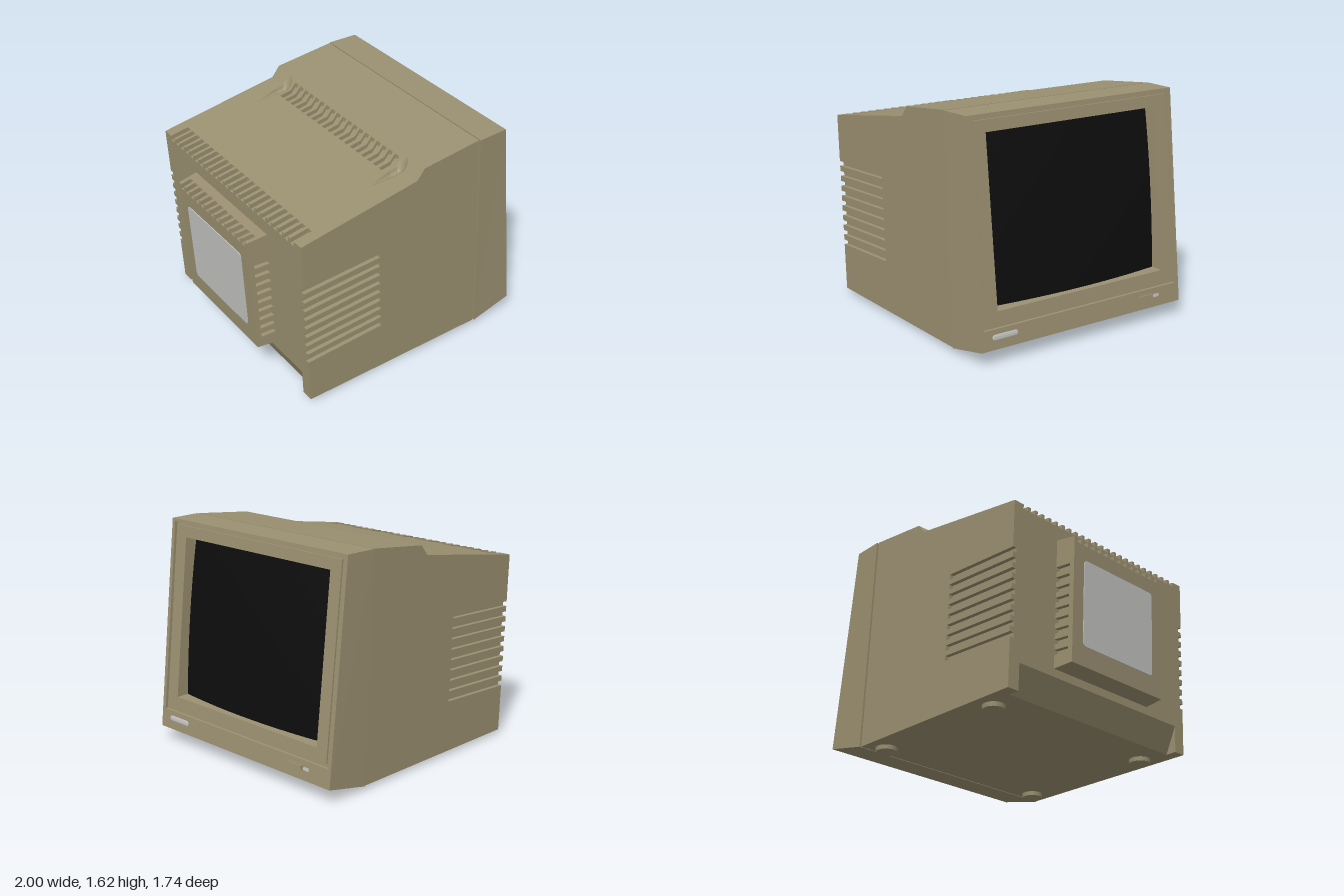
import * as THREE from 'three';
import { mergeGeometries } from 'three/addons/utils/BufferGeometryUtils.js';

const mat = (name, color) => Object.assign(new THREE.MeshStandardMaterial({ color }), { name });
const lerp = THREE.MathUtils.lerp;

// Straight edges of the case, as x for a given height
const frontX = y => 0.82 + 0.17 * (1.615 - y) / 1.515;
const seamX = y => 0.58 + 0.075 * (1.62 - y) / 1.59;
const rearX = y => -0.80 - 0.06 * (y - 0.03) / 1.32;
const boxX = y => -0.955 - 0.05 * (y - 0.285);
const TILT = Math.atan(0.17 / 1.515);

// Height of the stepped roof
const ROOF = [[-0.86, 1.35], [0.06, 1.495], [0.12, 1.57], [0.58, 1.62]];
function roofY(x) {
  const i = x <= 0.06 ? 0 : x <= 0.12 ? 1 : 2;
  const [a, b] = [ROOF[i], ROOF[i + 1]];
  return lerp(a[1], b[1], (x - a[0]) / (b[0] - a[0]));
}

// Side profile extruded across the width
function slab(points, z0, z1) {
  const shape = new THREE.Shape(points.map(p => new THREE.Vector2(...p)));
  return new THREE.ExtrudeGeometry(shape, { depth: z1 - z0, bevelEnabled: false }).translate(0, 0, z0);
}
const bothSides = (points, z0, z1) => [slab(points, z0, z1), slab(points, -z1, -z0)];

// Solid ribs left between a row of slots
function ribs(points, count, limit, pitch = 0.0658, width = 0.042) {
  const out = [];
  for (let i = 0; i <= count; i++) {
    const c = (i - count / 2) * pitch;
    const a = i === 0 ? -limit : c - pitch / 2 + width / 2;
    const b = i === count ? limit : c + pitch / 2 - width / 2;
    out.push(slab(points, a, b));
  }
  return out;
}

// Upward edge with nine slanting slots cut in from openX to closedX
function comb(openX, closedX, slope = 0.048) {
  const pts = [];
  for (let i = 0; i < 9; i++) {
    const mid = 0.37 + i * 0.075;
    for (const [x, y] of [[openX, mid], [closedX, mid], [closedX, mid + 0.036], [openX, mid + 0.036]]) {
      pts.push([x(y), y + slope * (x(y) + 0.84)]);
    }
  }
  return pts;
}

function rectPath(Type, w, y0, y1) {
  return new Type([[-w, y0], [w, y0], [w, y1], [-w, y1]].map(p => new THREE.Vector2(...p)));
}

// Rectangular frame extruded along x between two sloping planes
function frame(outer, inner, back, front, chin = false) {
  const shape = rectPath(THREE.Shape, ...outer);
  shape.holes.push(rectPath(THREE.Path, ...inner));
  const g = new THREE.ExtrudeGeometry(shape, { depth: 1, bevelEnabled: false });
  const p = g.attributes.position;
  for (let i = 0; i < p.count; i++) {
    const t = p.getZ(i);
    let y = p.getY(i), z = -p.getX(i);
    if (chin) {
      if (y < 0.031) y += 0.07 * t;
      if (Math.abs(z) > 0.85) z *= 1 - 0.01 * t;
    }
    p.setXYZ(i, lerp(back(y), front(y), t), y, z);
  }
  g.computeVertexNormals();
  return g;
}

// Tapering round scoop pressed into the roof step
function scoop(zc) {
  const g = new THREE.PlaneGeometry(0.32, 0.08, 32, 20).rotateX(-Math.PI / 2).translate(-0.04, 0, 0);
  const p = g.attributes.position;
  for (let i = 0; i < p.count; i++) {
    const x = p.getX(i), z = p.getZ(i);
    let r = 0.034 * THREE.MathUtils.clamp((x + 0.2) / 0.2, 0, 1);
    if (x > 0.07) r *= Math.sqrt(Math.max(0, 1 - ((x - 0.07) / 0.035) ** 2));
    p.setXYZ(i, x, roofY(x) - Math.sqrt(Math.max(0, r * r - z * z)), z + zc);
  }
  g.computeVertexNormals();
  return g;
}

export function createModel() {
  const model = new THREE.Group();
  const beige = mat('beige plastic', 0x9b9071);
  const black = mat('black glass', 0x0d0d0d);
  const grey = mat('light grey', 0xc4c4c2);
  const add = (name, geo, material = beige) => {
    const m = new THREE.Mesh(Array.isArray(geo) ? mergeGeometries(geo) : geo, material);
    m.name = name;
    model.add(m);
    return m;
  };

  // Case core, with room for the roof vents and a sloping cut at the lower rear
  add('caseCore', slab([
    [0.655, 0.03], [-0.72, 0.03], [rearX(0.22), 0.22], [rearX(1.315), 1.315], [-0.72, 1.337],
    [-0.72, roofY(-0.72)], [-0.2, roofY(-0.2)], [-0.2, 1.40], [0.12, 1.40], [0.12, 1.57], [0.58, 1.62],
  ], -0.83, 0.83));
  add('rearLegs', bothSides([[-0.72, 0.03], [-0.80, 0.03], [rearX(0.22), 0.22]], 0.77, 0.83));

  // Side walls with horizontal vents open to the rear
  const ventEnd = y => -0.205 - 0.047 * (y - 0.4);
  add('sideWalls', bothSides(
    [[0.655, 0.03], [-0.80, 0.03], ...comb(rearX, ventEnd), ...ROOF], 0.83, 0.86));

  // Vents along the rear edge of the roof
  add('rearRoofRibs', ribs(
    [[-0.72, 1.337], [-0.72, roofY(-0.72)], [-0.86, 1.35], [rearX(1.315), 1.315]], 24, 0.83));

  // Vents climbing the roof step, with a scoop at each end
  const base = [[0.12, 1.40], [-0.2, 1.40], [-0.2, roofY(-0.2)]];
  const full = [...base, [0.06, 1.495], [0.12, 1.57]];
  const slotted = [...base, [-0.035, roofY(-0.035)], [-0.035, 1.45], [0.06, 1.465],
    [0.10, 1.51], [0.10, 1.545], [0.12, 1.57]];
  add('stepVentFloor', slab(slotted, -0.64, 0.64));
  add('stepVentRibs', [...ribs(full, 19, 0.64), ...bothSides(full, 0.72, 0.83)]);
  add('stepScoops', [scoop(0.68), scoop(-0.68)]);

  // Rear housing, tapering towards the back
  const boxRoof = x => 1.19 + 0.14 * (x + 1);
  const housing = mergeGeometries([
    slab([[-0.78, 0.275], [-0.955, 0.285], [boxX(1.155), 1.155], [-0.92, 1.165],
      [-0.92, boxRoof(-0.92)], [-0.8, boxRoof(-0.8)]], -0.41, 0.41),
    ...ribs([[-0.92, 1.165], [-0.92, boxRoof(-0.92)], [-1.0, 1.19], [boxX(1.155), 1.155]], 13, 0.41),
    ...bothSides([[-0.955, 0.285], [-0.78, 0.275], ...comb(y => -0.79 - 0.01 * y, y => boxX(y) + 0.035),
      [-0.8, boxRoof(-0.8)], [-1.0, 1.19]], 0.41, 0.44),
  ]);
  const hp = housing.attributes.position;
  for (let i = 0; i < hp.count; i++) hp.setZ(i, hp.getZ(i) * (1 + 0.24 * (hp.getX(i) + 1)));
  housing.computeVertexNormals();
  add('rearHousing', housing);

  // Rounded label plate on the housing
  const plate = new THREE.Shape();
  const w = 0.345, h = 0.31, r = 0.03;
  plate.moveTo(-w + r, -h).lineTo(w - r, -h).quadraticCurveTo(w, -h, w, -h + r)
    .lineTo(w, h - r).quadraticCurveTo(w, h, w - r, h)
    .lineTo(-w + r, h).quadraticCurveTo(-w, h, -w, h - r)
    .lineTo(-w, -h + r).quadraticCurveTo(-w, -h, -w + r, -h);
  const label = add('rearPlate', new THREE.ExtrudeGeometry(plate, { depth: 0.006, bevelEnabled: false })
    .rotateY(-Math.PI / 2), grey);
  label.position.set(boxX(0.735), 0.735, 0);
  label.rotation.z = Math.atan(0.05);

  // Front bezel: seam, outer shell, groove and inner surround
  add('seam', slab([[0.64, 0.04], [0.70, 0.045], [0.63, 1.605], [0.57, 1.605]], -0.852, 0.852));
  add('bezelShell', frame([0.868, 0.03, 1.62], [0.83, 0.235, 1.60], y => seamX(y) + 0.009, frontX, true));
  add('bezelGroove', frame([0.83, 0.235, 1.60], [0.805, 0.26, 1.58],
    y => frontX(y) - 0.13, y => frontX(y) - 0.02));
  add('screenSurround', frame([0.805, 0.26, 1.58], [0.71, 0.345, 1.50],
    y => frontX(y) - 0.13, y => frontX(y) - 0.008));

  // Bulging glass
  const glass = new THREE.PlaneGeometry(1.44, 1.175, 24, 18);
  const gp = glass.attributes.position;
  for (let i = 0; i < gp.count; i++) {
    const u = gp.getX(i) / 0.72, v = gp.getY(i) / 0.5875, y = 0.9225 + gp.getY(i);
    gp.setXYZ(i, frontX(y) - 0.105 + 0.046 * (1 - u * u) + 0.02 * (1 - v * v), y, -gp.getX(i));
  }
  glass.computeVertexNormals();
  add('screen', glass, black);

  // Badge plate, power button and lamp on the chin
  const onChin = (name, geo, y, z, out, material) => {
    const m = add(name, geo, material);
    m.position.set(frontX(y) + out, y, z);
    m.rotation.z = TILT;
  };
  const badge = new THREE.CapsuleGeometry(0.02, 0.165, 4, 12).rotateX(Math.PI / 2).scale(0.2, 1, 1);
  onChin('badgePlate', badge, 0.18, 0.667, 0, grey);
  onChin('buttonRim', new THREE.BoxGeometry(0.008, 0.042, 0.14), 0.18, -0.537, 0, beige);
  onChin('powerButton', new THREE.BoxGeometry(0.03, 0.034, 0.13), 0.18, -0.537, 0.001, beige);
  onChin('powerLamp', new THREE.BoxGeometry(0.008, 0.022, 0.05), 0.18, -0.64, 0, grey);

  // Feet
  for (const x of [-0.52, 0.555]) for (const z of [-0.715, 0.715]) {
    add('foot', new THREE.CylinderGeometry(0.078, 0.074, 0.035, 24)).position.set(x, 0.0175, z);
  }
  return model;
}
